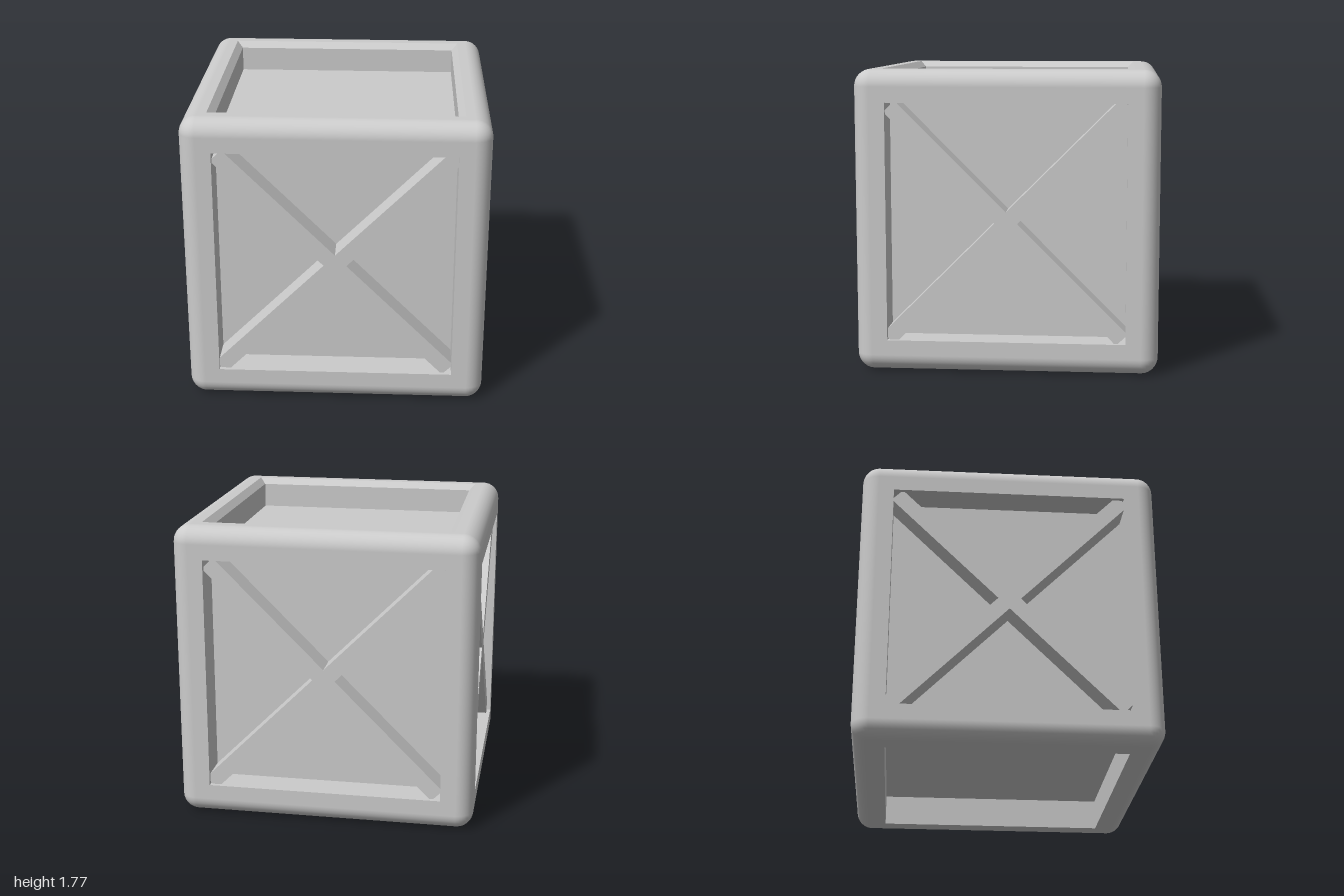
import * as THREE from 'three';

const H = 0.887;       // half size of the crate
const R = 0.1;         // edge rounding
const T = H - R;       // where the rounding starts
const OPEN = 0.697;    // half size of each framed opening
const PANEL = 0.7;     // distance of the recessed panels from the centre

const flat = new THREE.MeshStandardMaterial({ color: 0xcccccc, flatShading: true });
const smooth = new THREE.MeshStandardMaterial({ color: 0xcccccc });

function add(parent, name, geometry, material) {
  const mesh = new THREE.Mesh(geometry, material);
  mesh.name = name;
  parent.add(mesh);
  return mesh;
}

// Square face facing +y: flat frame, opening walls and recessed panel.
function faceGeometry(rim) {
  const profile = [[T, H], ...rim, [OPEN, PANEL], [0, PANEL]];
  const points = profile.map(([s, y]) => new THREE.Vector2(s * Math.SQRT2, y));
  return new THREE.LatheGeometry(points, 4, Math.PI / 4);
}

export function createModel() {
  const model = new THREE.Group();
  model.name = 'crate';
  const body = new THREE.Group();
  body.name = 'crateBody';
  body.position.y = H;
  body.rotation.y = THREE.MathUtils.degToRad(9);
  model.add(body);

  // Top has a bevelled rim, the other faces have straight walls
  const plainFace = faceGeometry([[OPEN, H]]);
  add(body, 'topFace', faceGeometry([[0.734, H], [OPEN, 0.85]]), flat);
  add(body, 'bottomFace', plainFace, flat).rotation.x = Math.PI;

  // Four sides, each with crossed braces
  ['front', 'left', 'back', 'right'].forEach((side, i) => {
    const group = new THREE.Group();
    group.name = side + 'Side';
    group.rotation.y = i * Math.PI / 2;
    body.add(group);
    add(group, side + 'Face', plainFace, flat).rotation.x = Math.PI / 2;

    const front = 0.863;
    for (const [name, half, angle] of [['risingBrace', 0.978, 1], ['fallingBrace', 0.955, -1]]) {
      const brace = add(group, name, new THREE.BoxGeometry(half * 2, 0.094, front - PANEL), flat);
      brace.position.z = (front + PANEL) / 2;
      brace.rotation.z = angle * Math.PI / 4;
    }
  });

  // Rounded edges: four parallel ones per axis
  const edge = new THREE.CylinderGeometry(R, R, 2 * T, 8, 1, true, 0, Math.PI / 2);
  edge.translate(T, 0, T);
  for (const [axis, rx, rz] of [['upright', 0, 0], ['depth', Math.PI / 2, 0], ['width', 0, Math.PI / 2]]) {
    const set = new THREE.Group();
    set.name = axis + 'Edges';
    set.rotation.set(rx, 0, rz);
    body.add(set);
    for (let i = 0; i < 4; i++) add(set, axis + 'Edge', edge, smooth).rotation.y = i * Math.PI / 2;
  }

  // Rounded corners, top and bottom
  const corner = new THREE.SphereGeometry(R, 8, 8, Math.PI / 2, Math.PI / 2, 0, Math.PI / 2);
  corner.translate(T, T, T);
  for (const [name, rx] of [['topCorners', 0], ['bottomCorners', Math.PI]]) {
    const set = new THREE.Group();
    set.name = name;
    set.rotation.x = rx;
    body.add(set);
    for (let i = 0; i < 4; i++) add(set, 'corner', corner, smooth).rotation.y = i * Math.PI / 2;
  }

  return model;
}
